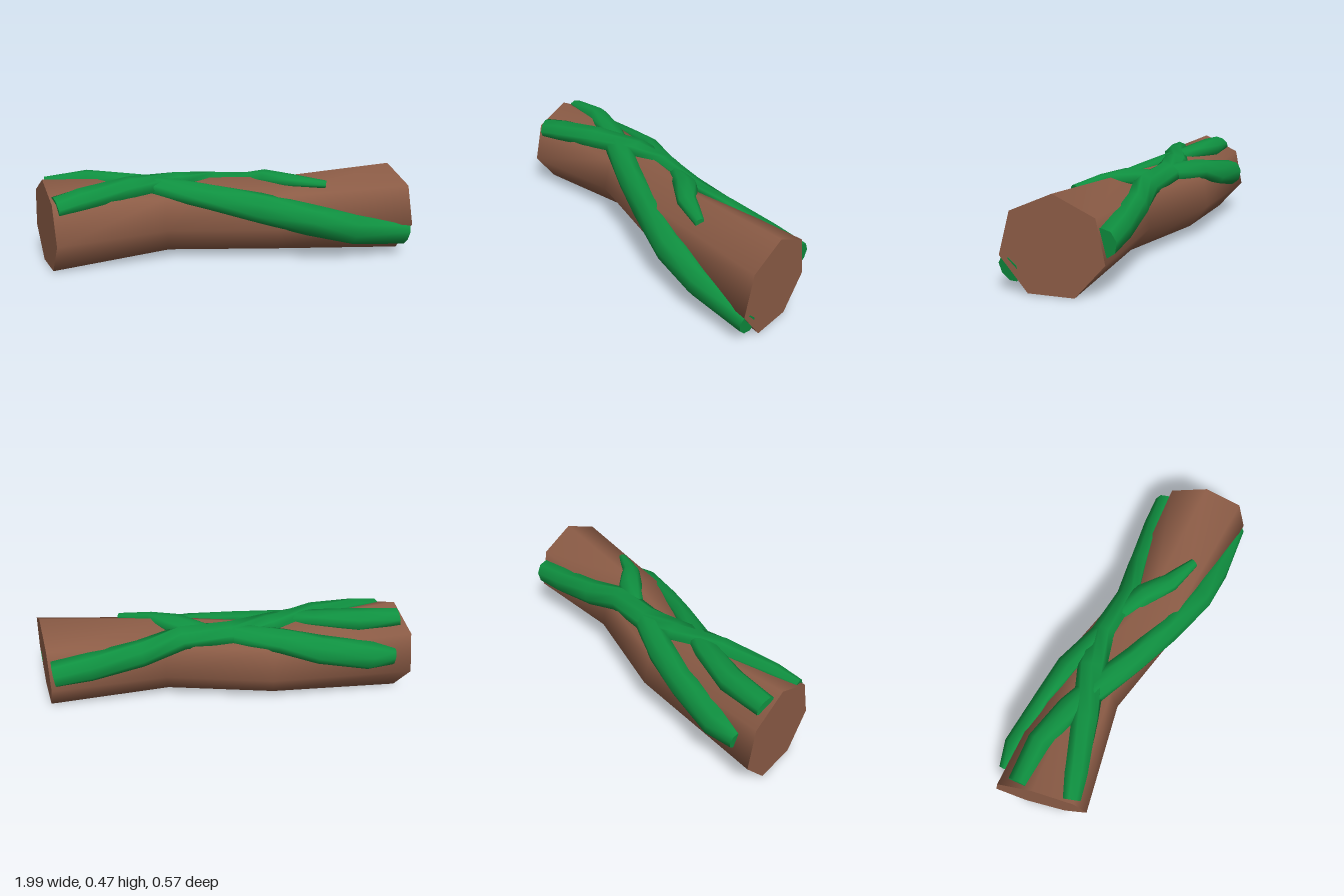
import * as THREE from 'three';

// Trunk stations: x, centre z, radius, lean of the ring (x shift per z)
const CY = 0.236;
const STATIONS = [
  [-0.942, 0.0, 0.241, 0.25],
  [-0.305, -0.09, 0.198, -0.17],
  [0.275, 0.005, 0.198, -0.1],
  [0.937, -0.02, 0.241, 0.235],
];

// Skin a list of equal rings; sides share vertices (smooth), caps are flat
function loft(rings) {
  const pos = [], idx = [], n = rings[0].length;
  const add = (p) => pos.push(p.x, p.y, p.z) / 3 - 1;
  rings.forEach((r) => r.forEach(add));
  for (let i = 0; i < rings.length - 1; i++) {
    for (let j = 0; j < n; j++) {
      const a = i * n + j, b = i * n + (j + 1) % n;
      idx.push(a, b, a + n, b, b + n, a + n);
    }
  }
  [[rings[0], true], [rings[rings.length - 1], false]].forEach(([ring, flip]) => {
    const mid = new THREE.Vector3();
    ring.forEach((p) => mid.addScaledVector(p, 1 / n));
    const c = add(mid), first = c + 1;
    ring.forEach(add);
    for (let j = 0; j < n; j++) {
      const a = first + j, b = first + (j + 1) % n;
      if (flip) idx.push(c, b, a);
      else idx.push(c, a, b);
    }
  });
  const g = new THREE.BufferGeometry();
  g.setAttribute('position', new THREE.Float32BufferAttribute(pos, 3));
  g.setIndex(idx);
  g.computeVertexNormals();
  return g;
}

// Seven-sided trunk
function trunkGeometry() {
  return loft(STATIONS.map(([x, cz, r, lean]) =>
    Array.from({ length: 7 }, (_, j) => {
      const a = (j / 7) * Math.PI * 2 - 0.035;
      const z = cz + r * Math.sin(a);
      return new THREE.Vector3(x + lean * z, CY + r * Math.cos(a), z);
    })));
}

// Trunk centre z and radius at any x
function trunkAt(x) {
  let i = 0;
  while (i < 2 && x > STATIONS[i + 1][0]) i++;
  const [x0, z0, r0] = STATIONS[i], [x1, z1, r1] = STATIONS[i + 1];
  const t = (x - x0) / (x1 - x0);
  return [z0 + (z1 - z0) * t, r0 + (r1 - r0) * t];
}

// Flattened strand lying on the bark.
// Points: x, angle in degrees from the top towards the front, half width, half height
function strandGeometry(points) {
  const normals = [];
  const centres = points.map(([x, deg]) => {
    const [cz, r] = trunkAt(x), a = THREE.MathUtils.degToRad(deg);
    const nrm = new THREE.Vector3(0, Math.cos(a), Math.sin(a));
    normals.push(nrm);
    return new THREE.Vector3(x, CY, cz).addScaledVector(nrm, r * 0.94);
  });
  return loft(points.map(([, , w, h], i) => {
    const prev = centres[Math.max(i - 1, 0)];
    const next = centres[Math.min(i + 1, centres.length - 1)];
    const tangent = next.clone().sub(prev).normalize();
    const side = tangent.clone().cross(normals[i]).normalize();
    const up = side.clone().cross(tangent);
    return Array.from({ length: 8 }, (_, j) => {
      const a = (j / 8) * Math.PI * 2;
      return centres[i].clone()
        .addScaledVector(up, Math.cos(a) * h)
        .addScaledVector(side, Math.sin(a) * w);
    });
  }));
}

const STRANDS = {
  vineFrontLeftToBackRight: [
    [-0.88, 50, 0.055, 0.035], [-0.76, 42, 0.065, 0.05], [-0.5, 25, 0.07, 0.06],
    [-0.25, 0, 0.075, 0.045], [-0.05, -26, 0.07, 0.045], [0.2, -38, 0.07, 0.045],
    [0.42, -62, 0.07, 0.055], [0.68, -76, 0.075, 0.06], [0.86, -82, 0.07, 0.06],
  ],
  vineBackLeftToFrontRight: [
    [-0.94, -27, 0.055, 0.03], [-0.72, -22, 0.065, 0.06], [-0.5, -2, 0.065, 0.04],
    [-0.35, 22, 0.07, 0.045], [-0.1, 46, 0.075, 0.05], [0.15, 65, 0.08, 0.05],
    [0.42, 88, 0.085, 0.08], [0.66, 106, 0.085, 0.08], [0.97, 119, 0.065, 0.045],
  ],
  vineBack: [
    [-0.9, -82, 0.045, 0.03], [-0.77, -77, 0.075, 0.065], [-0.5, -60, 0.075, 0.045],
    [-0.3, -39, 0.07, 0.045], [-0.05, -27, 0.06, 0.04],
  ],
  vineSideShoot: [
    [0.06, -30, 0.05, 0.03], [0.23, -12, 0.065, 0.05],
    [0.36, 14, 0.05, 0.03], [0.53, 33, 0.025, 0.02],
  ],
};

export function createModel() {
  const bark = new THREE.MeshStandardMaterial({ color: 0x8c5c46 });
  bark.name = 'bark';
  const moss = new THREE.MeshStandardMaterial({ color: 0x0f9040 });
  moss.name = 'vineGreen';

  const group = new THREE.Group();
  group.name = 'vineCoveredLog';
  const addPart = (name, geometry, material) => {
    const mesh = new THREE.Mesh(geometry, material);
    mesh.name = name;
    group.add(mesh);
  };
  addPart('trunk', trunkGeometry(), bark);
  for (const [name, points] of Object.entries(STRANDS)) {
    addPart(name, strandGeometry(points), moss);
  }
  return group;
}
